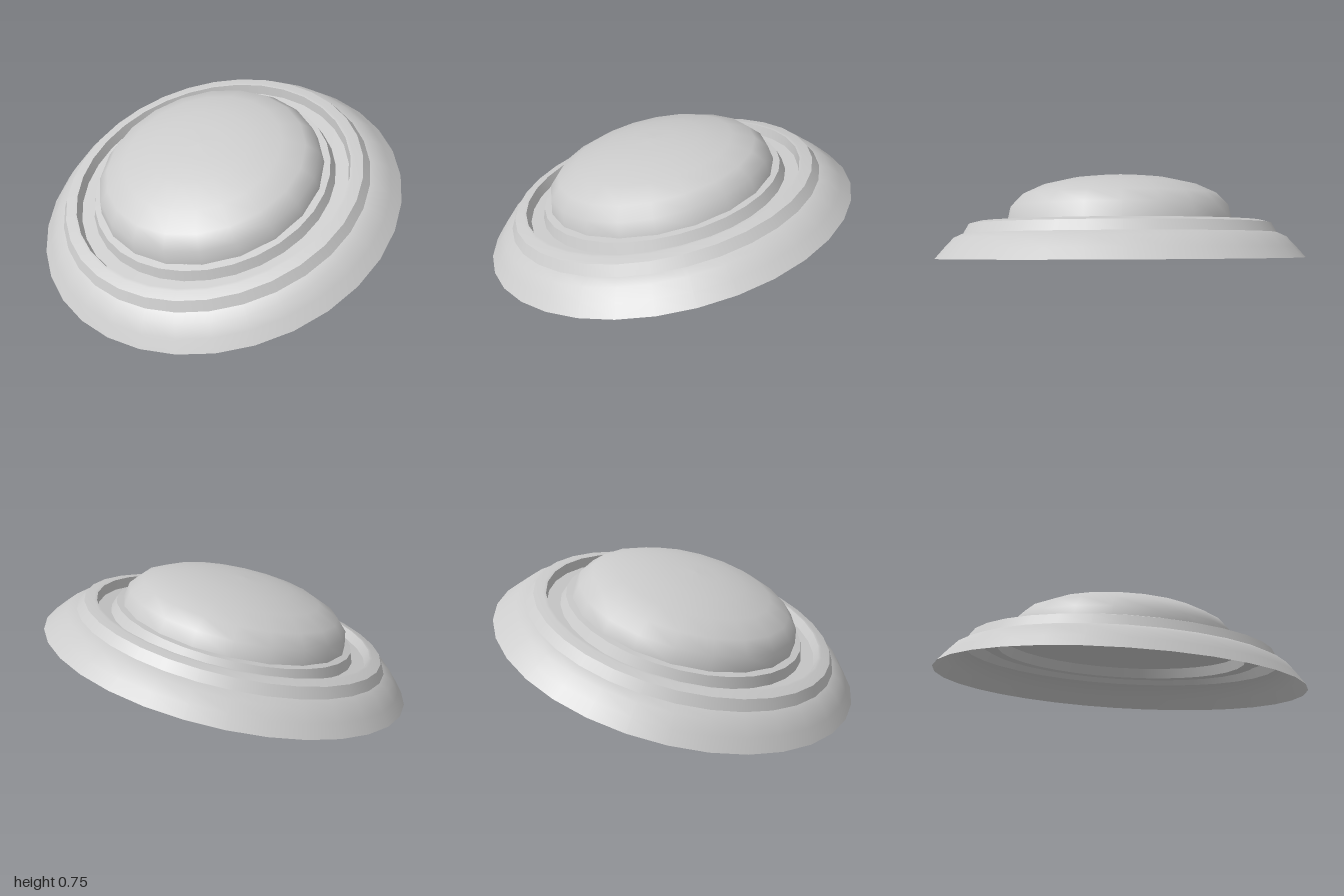
import * as THREE from 'three';

const TILT = THREE.MathUtils.degToRad(15);
const material = new THREE.MeshStandardMaterial({ color: 0xcccccc, side: THREE.DoubleSide });

// One smooth turned band from [radius, height] points; edges between bands stay sharp
function band(name, points, sides) {
  const profile = points.map(([r, y]) => new THREE.Vector2(r, y));
  const mesh = new THREE.Mesh(new THREE.LatheGeometry(profile, sides), material);
  mesh.name = name;
  return mesh;
}

export function createModel() {
  const model = new THREE.Group();
  model.name = 'tiltedDish';

  const dish = new THREE.Group();
  dish.name = 'dish';
  dish.rotation.z = TILT;
  dish.position.y = Math.sin(TILT); // lowest rim point rests on the ground
  model.add(dish);

  // Thin stepped shell, from the outer rim inward
  const shell = [
    ['skirt', [[1, 0], [0.95, 0.058], [0.9, 0.112], [0.85, 0.135]]],
    ['ridgeOuterWall', [[0.85, 0.135], [0.82, 0.187]]],
    ['ridgeTop', [[0.82, 0.187], [0.77, 0.2], [0.755, 0.2]]],
    ['ridgeInnerWall', [[0.755, 0.2], [0.74, 0.148]]],
    ['channelFloor', [[0.74, 0.148], [0.67, 0.148]]],
    ['collarWall', [[0.67, 0.148], [0.65, 0.203]]],
    ['collarTop', [[0.65, 0.203], [0.61, 0.207]]],
  ];
  for (const [name, points] of shell) dish.add(band(name, points, 32));

  // Flattened dome and its flat underside
  dish.add(band('dome', [
    [0.617, 0.205], [0.6, 0.284], [0.54, 0.346], [0.426, 0.398],
    [0.27, 0.434], [0.13, 0.449], [0, 0.453],
  ], 20));
  dish.add(band('domeBase', [[0, 0.205], [0.617, 0.205]], 20));

  return model;
}
